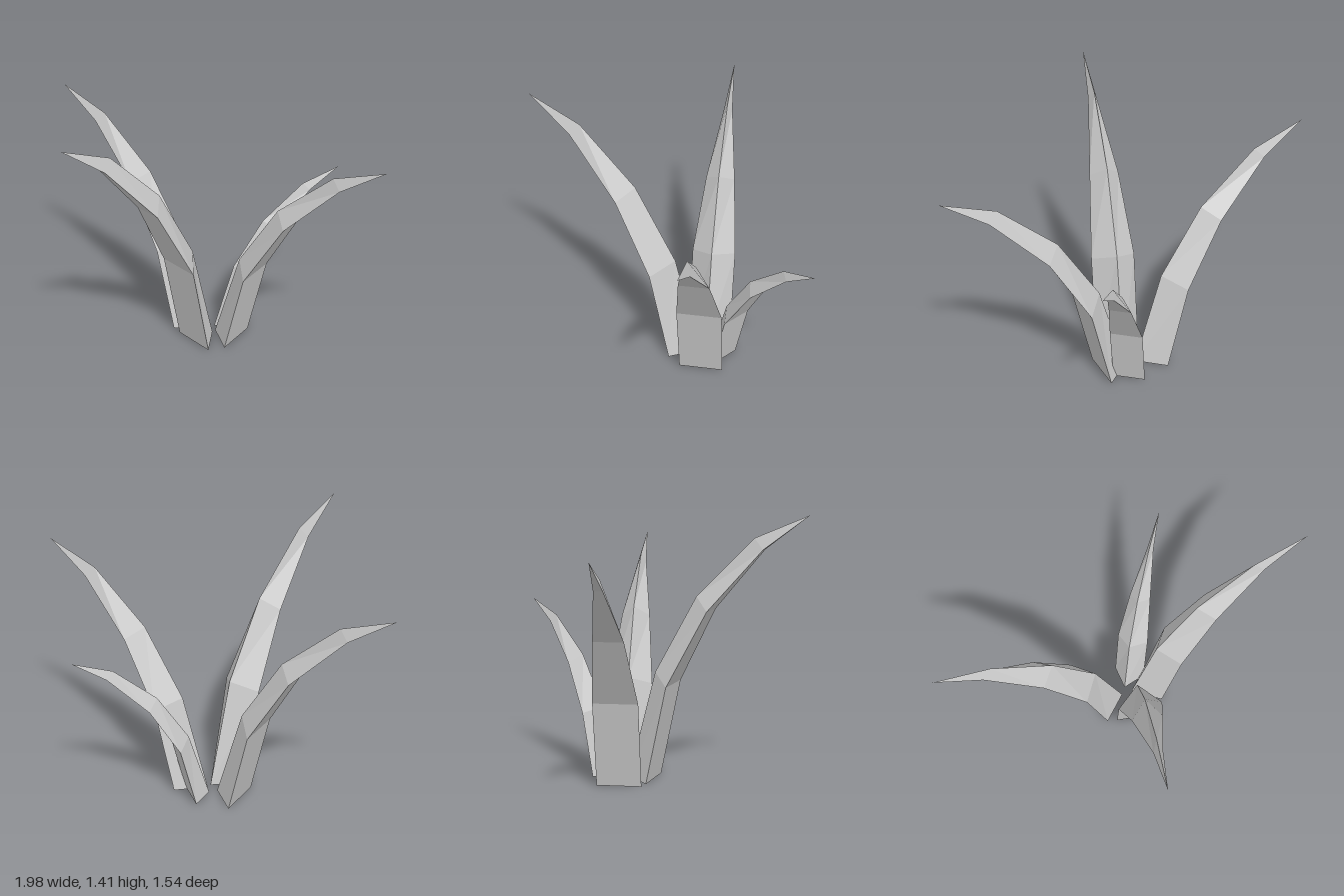
import * as THREE from 'three';

// Leaf cross-sections, base to tip: [inner ridge r, ridge y, back r, back y, half width]
const SECTIONS = [
  [0, 0, 0.14, 0, 0.118],
  [0.15, 0.51, 0.25, 0.46, 0.118],
  [0.375, 0.87, 0.455, 0.81, 0.078],
  [0.68, 1.14, 0.73, 1.09, 0.023],
];
const TIP = [0.962, 1.245, 0];

// Triangular blade bending outward along +x, open at the base
function leafGeometry() {
  const rings = SECTIONS.map(([ri, yi, ro, yo, w]) => [
    [ro, yo, w], [ro, yo, -w], [ri, yi, 0],
  ]);
  const pos = [];
  const tri = (...pts) => pts.forEach((p) => pos.push(...p));
  for (let i = 0; i < rings.length; i++) {
    for (let j = 0; j < 3; j++) {
      const k = (j + 1) % 3;
      const a = rings[i][j], b = rings[i][k];
      if (i === rings.length - 1) {
        tri(a, b, TIP);
      } else {
        const c = rings[i + 1][k], d = rings[i + 1][j];
        tri(a, b, c);
        tri(a, c, d);
      }
    }
  }
  const geo = new THREE.BufferGeometry();
  geo.setAttribute('position', new THREE.Float32BufferAttribute(pos, 3));
  geo.computeVertexNormals();
  return geo;
}

export function createModel() {
  const group = new THREE.Group();
  group.name = 'plant';
  const geo = leafGeometry();
  const material = new THREE.MeshStandardMaterial({
    color: 0xcccccc, flatShading: true, side: THREE.DoubleSide,
  });

  // Each leaf: base position, heading on the ground, scale across and up
  const leaves = [
    { name: 'leftLeaf', x: 0.03, z: -0.197, dx: 1, dz: 0, s: 1, sy: 1 },
    { name: 'rightLeaf', x: -0.03, z: -0.197, dx: -1, dz: 0, s: 1, sy: 1 },
    { name: 'frontTallLeaf', x: 0.028, z: -0.172, dx: -0.228, dz: 0.974, s: 1, sy: 1.135 },
    { name: 'backShortLeaf', x: 0, z: -0.232, dx: 0.63, dz: -0.776, s: 0.727, sy: 0.727 },
  ];
  for (const l of leaves) {
    const leaf = new THREE.Mesh(geo, material);
    leaf.name = l.name;
    leaf.position.set(l.x, 0, l.z);
    leaf.rotation.y = Math.atan2(-l.dz, l.dx);
    leaf.scale.set(l.s, l.sy, l.s);
    group.add(leaf);
  }
  return group;
}
